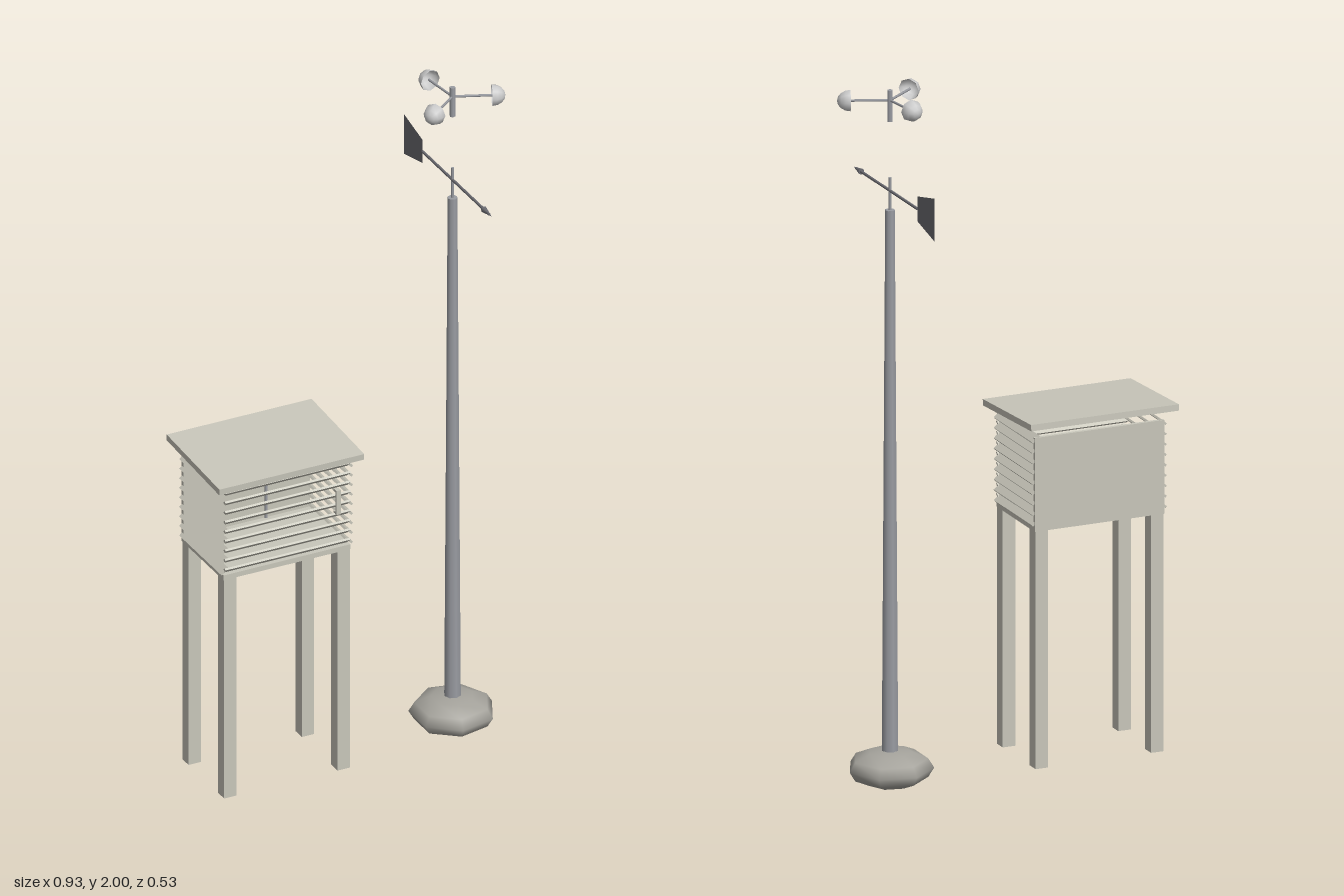
import * as THREE from 'three';

const mat = (color, extra = {}) => new THREE.MeshStandardMaterial({ color, ...extra });

export function createModel() {
  const model = new THREE.Group();
  const wood = mat(0xc8c6ba);
  const metal = mat(0x9a9ca2);
  const stone = mat(0xa5a39c);
  const dark = mat(0x6c6c72, { side: THREE.DoubleSide });
  const cupMat = mat(0xcccccc, { side: THREE.DoubleSide });

  const add = (parent, name, geometry, material, x = 0, y = 0, z = 0) => {
    const mesh = new THREE.Mesh(geometry, material);
    mesh.name = name;
    mesh.position.set(x, y, z);
    parent.add(mesh);
    return mesh;
  };
  const box = (w, h, d) => new THREE.BoxGeometry(w, h, d);
  const rod = (r1, r2, h, n = 8) => new THREE.CylinderGeometry(r1, r2, h, n);

  // Louvred instrument shelter on four legs
  const shelter = new THREE.Group();
  shelter.name = 'instrumentShelter';
  shelter.position.set(-0.247, 0, 0.028);
  model.add(shelter);

  for (const sx of [-1, 1]) for (const sz of [-1, 1]) {
    add(shelter, 'leg', box(0.038, 0.685, 0.038), wood, sx * 0.174, 0.375, sz * 0.107);
  }
  add(shelter, 'floor', box(0.39, 0.015, 0.252), wood, 0, 0.722, 0);
  add(shelter, 'backPanel', box(0.39, 0.262, 0.01), wood, 0, 0.853, -0.121);
  const roof = add(shelter, 'roof', box(0.445, 0.018, 0.317), wood, 0, 1.018, -0.004);
  roof.rotation.x = 0.055;

  // Slats: side slats slope down outwards, front slats slope up outwards
  for (let i = 0; i < 9; i++) {
    const y = 0.741 + i * 0.0298;
    const front = add(shelter, 'frontSlat', box(0.385, 0.006, 0.028), wood, 0, y, 0.12);
    front.rotation.x = -0.7;
    for (const s of [-1, 1]) {
      const side = add(shelter, 'sideSlat', box(0.028, 0.006, 0.248), wood, s * 0.191, y, 0);
      side.rotation.z = -s * 0.7;
    }
  }

  // Door handle and the thermometer inside
  add(shelter, 'handleGrip', box(0.014, 0.075, 0.006), wood, 0.152, 0.877, 0.137);
  for (const y of [0.843, 0.911]) {
    add(shelter, 'handlePost', box(0.014, 0.007, 0.014), wood, 0.152, y, 0.13);
  }
  add(shelter, 'thermometer', rod(0.004, 0.004, 0.12), metal, 0, 0.86, 0);

  // Mast with a flattened footing
  const mast = new THREE.Group();
  mast.name = 'windMast';
  mast.position.set(0.327, 0, 0.026);
  model.add(mast);

  const footing = add(mast, 'footing', new THREE.SphereGeometry(0.121, 7, 6), stone, 0, 0.053, 0);
  footing.scale.y = 0.053 / 0.121;
  footing.rotation.y = Math.PI;
  add(mast, 'pole', rod(0.014, 0.024, 1.575, 8), metal, 0, 0.8675, 0);
  add(mast, 'spindle', rod(0.004, 0.004, 0.1), metal, 0, 1.698, 0);

  // Wind vane: arm, arrowhead and tapered tail
  const vane = new THREE.Group();
  vane.name = 'windVane';
  vane.position.y = 1.71;
  mast.add(vane);
  add(vane, 'vaneArm', rod(0.004, 0.004, 0.4), dark, 0, 0, 0.02).rotation.x = Math.PI / 2;
  add(vane, 'arrowhead', new THREE.ConeGeometry(0.009, 0.048, 8), dark, 0, 0, 0.212).rotation.x = Math.PI / 2;
  const tail = new THREE.Shape([[0.18, -0.036], [0.292, -0.062], [0.292, 0.062], [0.18, 0.036]]
    .map(([x, y]) => new THREE.Vector2(x, y)));
  add(vane, 'vaneTail', new THREE.ShapeGeometry(tail), dark).rotation.y = Math.PI / 2;

  // Cup rotor: three open cups around a hub
  const rotor = new THREE.Group();
  rotor.name = 'cupRotor';
  rotor.position.y = 1.97;
  mast.add(rotor);
  add(rotor, 'hub', rod(0.008, 0.008, 0.09), metal, 0, -0.016, 0);
  for (let i = 0; i < 3; i++) {
    const arm = new THREE.Group();
    arm.name = 'cupArm';
    arm.rotation.y = -(0.4 + i * Math.PI * 2 / 3);
    rotor.add(arm);
    add(arm, 'spoke', rod(0.0035, 0.0035, 0.115, 6), metal, 0.0575, 0, 0).rotation.z = Math.PI / 2;
    const dome = new THREE.SphereGeometry(0.031, 8, 4, 0, Math.PI * 2, 0, Math.PI / 2);
    dome.scale(1, 1.2, 1);
    add(arm, 'cup', dome, cupMat, 0.108, 0, 0).rotation.z = -Math.PI / 2;
  }

  return model;
}
